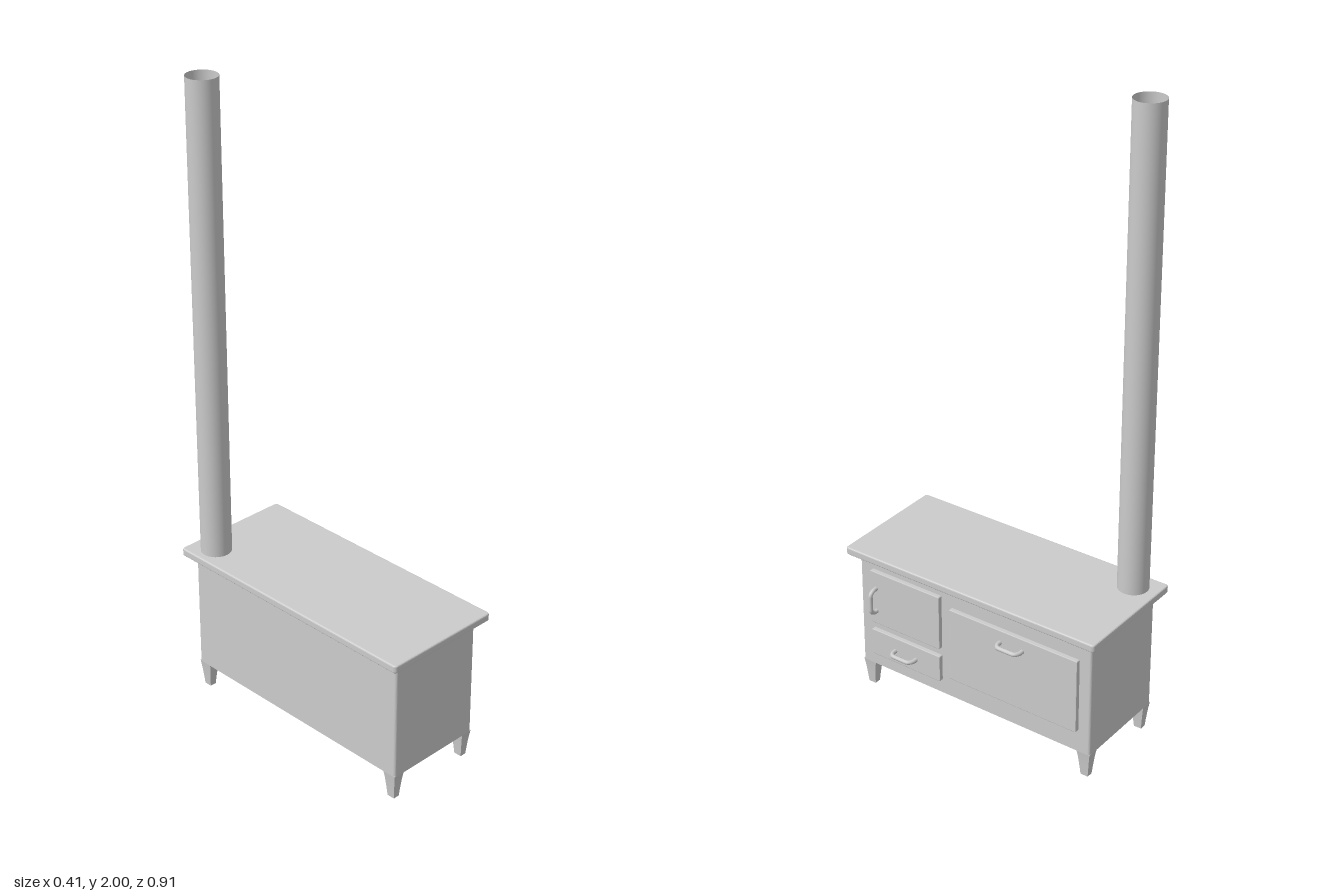
import * as THREE from 'three';

const material = new THREE.MeshStandardMaterial({ color: 0xcccccc });
const thinMaterial = new THREE.MeshStandardMaterial({ color: 0xcccccc, side: THREE.DoubleSide });
const CX = -0.008; // the body sits slightly behind the centre, handles reach forward
const FACE = 0.156; // x of the body's door side

function roundedRect(w, h, r) {
  const s = new THREE.Shape();
  const x = w / 2, y = h / 2;
  s.moveTo(-x + r, -y);
  s.lineTo(x - r, -y);
  s.absarc(x - r, -y + r, r, -Math.PI / 2, 0);
  s.lineTo(x, y - r);
  s.absarc(x - r, y - r, r, 0, Math.PI / 2);
  s.lineTo(-x + r, y);
  s.absarc(-x + r, y - r, r, Math.PI / 2, Math.PI);
  s.lineTo(-x, -y + r);
  s.absarc(-x + r, -y + r, r, Math.PI, Math.PI * 1.5);
  return s;
}

// Upright block with a rounded plan, from y0 to y1, with optional softened rims
function slab(w, d, r, y0, y1, bevel = 0) {
  const geo = new THREE.ExtrudeGeometry(roundedRect(w - 2 * bevel, d - 2 * bevel, r), {
    depth: y1 - y0 - 2 * bevel, bevelEnabled: bevel > 0, bevelSize: bevel,
    bevelThickness: bevel, bevelSegments: 3, curveSegments: 5,
  });
  return geo.rotateX(-Math.PI / 2).translate(0, y0 + bevel, 0);
}

export function createModel() {
  const group = new THREE.Group();
  const add = (name, geo, x = 0, y = 0, z = 0, mat = material) => {
    const mesh = new THREE.Mesh(geo, mat);
    mesh.name = name;
    mesh.position.set(x, y, z);
    group.add(mesh);
    return mesh;
  };

  // Body and worktop
  add('body', slab(0.328, 0.85, 0.008, 0.085, 0.476), CX);
  add('worktop', slab(0.398, 0.907, 0.006, 0.475, 0.5, 0.005), CX);

  // Four square legs, tapering toward the floor
  for (const sx of [-1, 1]) {
    for (const sz of [-1, 1]) {
      const leg = new THREE.BoxGeometry(0.038, 0.087, 0.046, 1, 4, 1);
      const p = leg.attributes.position;
      for (let i = 0; i < p.count; i++) {
        const t = 0.5 - p.getY(i) / 0.087;
        const k = 1 - 0.45 * Math.pow(t, 0.8);
        p.setX(i, p.getX(i) * k);
        p.setZ(i, p.getZ(i) * k);
      }
      leg.computeVertexNormals();
      add('leg', leg, CX + sx * 0.145, 0.0435, sz * 0.402);
    }
  }

  // Raised doors and drawer on the +x side
  const panel = (name, z0, z1, y0, y1) => {
    const geo = new THREE.ExtrudeGeometry(roundedRect(z1 - z0 - 0.004, y1 - y0 - 0.004, 0.002), {
      depth: 0.013, bevelSize: 0.002, bevelThickness: 0.002, bevelSegments: 2, curveSegments: 2,
    });
    geo.rotateY(Math.PI / 2);
    add(name, geo, FACE - 0.001, (y0 + y1) / 2, (z0 + z1) / 2);
  };
  panel('fireboxDoor', 0.114, 0.378, 0.249, 0.434);
  panel('ashDrawer', 0.114, 0.378, 0.132, 0.222);
  panel('ovenDoor', -0.384, 0.077, 0.159, 0.407);

  // Bowed bar handles
  const path = new THREE.CurvePath();
  const v = (x, z) => new THREE.Vector3(x, 0, z);
  path.add(new THREE.LineCurve3(v(0, -0.04), v(0.013, -0.04)));
  path.add(new THREE.QuadraticBezierCurve3(v(0.013, -0.04), v(0.03, -0.036), v(0.031, -0.024)));
  path.add(new THREE.LineCurve3(v(0.031, -0.024), v(0.031, 0.024)));
  path.add(new THREE.QuadraticBezierCurve3(v(0.031, 0.024), v(0.03, 0.036), v(0.013, 0.04)));
  path.add(new THREE.LineCurve3(v(0.013, 0.04), v(0, 0.04)));
  const handleGeo = new THREE.TubeGeometry(path, 40, 0.007, 10);
  add('ovenHandle', handleGeo, 0.167, 0.366, -0.152);
  add('drawerHandle', handleGeo, 0.167, 0.175, 0.246);
  add('fireboxHandle', handleGeo, 0.167, 0.336, 0.355).rotation.x = Math.PI / 2;

  // Open stovepipe
  add('stovepipe', new THREE.CylinderGeometry(0.048, 0.048, 1.502, 40, 1, true),
    -0.136, 1.249, -0.373, thinMaterial);

  return group;
}
